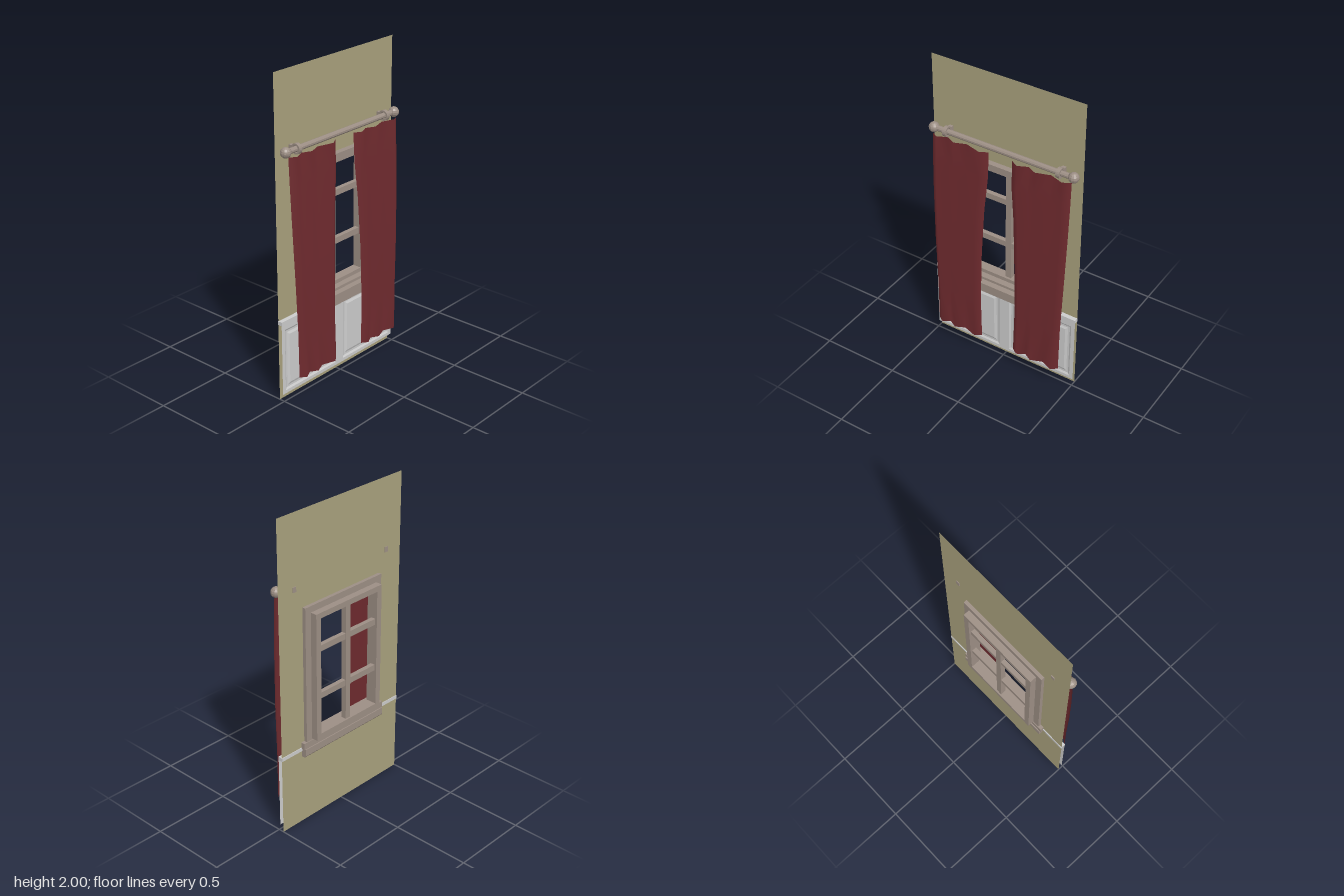
import * as THREE from 'three';

const mat = (color, extra = {}) => new THREE.MeshStandardMaterial({ color, ...extra });

export function createModel() {
  const root = new THREE.Group();
  const wallMat = mat(0xa8a07c, { side: THREE.DoubleSide });
  const woodMat = mat(0x9c8e84, { flatShading: true });
  const clothMat = mat(0x6e2a2e, { side: THREE.DoubleSide });
  const panelMat = mat(0xcccccc, { side: THREE.DoubleSide, flatShading: true });

  const add = (name, geometry, material, parent = root) => {
    const mesh = new THREE.Mesh(geometry, material);
    mesh.name = name;
    parent.add(mesh);
    return mesh;
  };
  const group = (name) => {
    const g = new THREE.Group();
    g.name = name;
    root.add(g);
    return g;
  };
  // Box given by its limits along each axis
  const box = (name, [x0, x1], [y0, y1], [z0, z1], material, parent) => {
    const g = new THREE.BoxGeometry(x1 - x0, y1 - y0, z1 - z0);
    g.translate((x0 + x1) / 2, (y0 + y1) / 2, (z0 + z1) / 2);
    return add(name, g, material, parent);
  };
  const rect = (Type, a0, a1, b0, b1) => new Type([[a0, b0], [a1, b0], [a1, b1], [a0, b1]]
    .map(([a, b]) => new THREE.Vector2(a, b)));
  // Rectangular sheet or frame standing across z, with rectangular openings
  const framed = (outer, holes, x0, x1) => {
    const s = rect(THREE.Shape, ...outer);
    holes.forEach((h) => s.holes.push(rect(THREE.Path, ...h)));
    const g = x1 === undefined ? new THREE.ShapeGeometry(s)
      : new THREE.ExtrudeGeometry(s, { depth: x1 - x0, bevelEnabled: false });
    return g.rotateY(Math.PI / 2).translate(x0, 0, 0);
  };
  // Surface through rows of points
  const loft = (rows) => {
    const n = rows[0].length, index = [];
    for (let i = 0; i < rows.length - 1; i++) {
      for (let j = 0; j < n - 1; j++) {
        const a = i * n + j, b = a + n;
        index.push(a, a + 1, b, b, a + 1, b + 1);
      }
    }
    const g = new THREE.BufferGeometry();
    g.setAttribute('position', new THREE.Float32BufferAttribute(rows.flat(2), 3));
    g.setIndex(index);
    g.computeVertexNormals();
    return g;
  };

  // Wall with the window opening
  add('wall', framed([-0.5, 0.5, 0, 2], [[-0.28, 0.28, 0.57, 1.39]], -0.036), wallMat);

  // Wainscot: flat face, two raised panels and a cap rail
  const wainscot = group('wainscot');
  const panels = [[-0.475, -0.035], [0.035, 0.475]];
  add('wainscotFace', framed([-0.5, 0.5, 0.04, 0.5],
    panels.map(([a, b]) => [a, b, 0.06, 0.46]), -0.01), panelMat, wainscot);
  const steps = [[0, -0.01], [0.012, -0.017], [0.025, -0.017], [0.04, -0.011], [0.199, -0.011]];
  for (const [z0, z1] of panels) {
    add('wainscotPanel', loft(steps.map(([d, x]) => [
      [x, 0.06 + d, z0 + d], [x, 0.46 - d, z0 + d], [x, 0.46 - d, z1 - d],
      [x, 0.06 + d, z1 - d], [x, 0.06 + d, z0 + d],
    ])), panelMat, wainscot);
  }
  box('wainscotCap', [-0.04, -0.008], [0.495, 0.518], [-0.5, 0.5], panelMat, wainscot);

  // Window: casing, deeper sash and glazing bars
  const win = group('window');
  add('casing', framed([-0.315, 0.315, 0.54, 1.42], [[-0.265, 0.265, 0.57, 1.375]], -0.058, 0), woodMat, win);
  add('sash', framed([-0.272, 0.272, 0.56, 1.38], [[-0.235, 0.235, 0.595, 1.345]], -0.1, -0.04), woodMat, win);
  box('verticalBar', [-0.09, -0.055], [0.58, 1.36], [-0.019, 0.019], woodMat, win);
  for (const y of [0.84, 1.147]) {
    box('crossBar', [-0.087, -0.058], [y - 0.019, y + 0.019], [-0.25, 0.25], woodMat, win);
  }
  box('sill', [-0.062, 0.038], [0.512, 0.553], [-0.34, 0.34], woodMat, win);
  // Apron below the sill, with chamfered lower edges
  const apron = [[-0.068, 0.512], [-0.068, 0.468], [-0.058, 0.456], [0.002, 0.456], [0.002, 0.512]];
  const apronShape = new THREE.Shape(apron.map(([x, y]) => new THREE.Vector2(x, y)));
  add('apron', new THREE.ExtrudeGeometry(apronShape, { depth: 0.67, bevelEnabled: false })
    .translate(0, 0, -0.335), woodMat, win);

  // Curtain rod with necks, ball ends and ring brackets
  const rod = group('curtainRod');
  const rx = 0.013, ry = 1.55;
  add('rod', new THREE.CylinderGeometry(0.017, 0.017, 0.87, 10).rotateX(Math.PI / 2), woodMat, rod)
    .position.set(rx, ry, 0);
  for (const s of [-1, 1]) {
    add('finialNeck', new THREE.CylinderGeometry(0.011, 0.011, 0.03, 10).rotateX(Math.PI / 2), woodMat, rod)
      .position.set(rx, ry, s * 0.44);
    add('finialBall', new THREE.SphereGeometry(0.032, 12, 8), woodMat, rod).position.set(rx, ry, s * 0.465);
    const ring = new THREE.Shape().absarc(0, 0, 0.032, 0, Math.PI * 2);
    ring.holes.push(new THREE.Path().absarc(0, 0, 0.021, 0, Math.PI * 2));
    add('bracketRing', new THREE.ExtrudeGeometry(ring, { depth: 0.024, curveSegments: 10, bevelEnabled: false }),
      woodMat, rod).position.set(rx, ry, s * 0.377 - 0.012);
    box('bracketArm', [-0.041, -0.012], [ry - 0.016, ry + 0.016],
      [s * 0.377 - 0.012, s * 0.377 + 0.012], woodMat, rod);
  }

  // Curtains: folded sheets, [height, inner z, outer z, back x] from top to bottom
  const levels = [
    [1.525, 0.078, 0.463, 0.03], [1.35, 0.08, 0.463, 0.038], [1.13, 0.1, 0.46, 0.047],
    [0.8, 0.115, 0.452, 0.058], [0.45, 0.122, 0.44, 0.064], [0.16, 0.115, 0.438, 0.067],
  ];
  const curtain = (name, side, folds) => add(name, loft(levels.map(([y, zi, zo, x]) =>
    folds.map((t, i) => [x + (i % 2 ? 0.028 : 0), y, side * (zi + (zo - zi) * t)]))), clothMat);
  curtain('leftCurtain', 1, [0, 0.12, 0.39, 0.58, 0.73, 0.89, 1]);
  curtain('rightCurtain', -1, [0, 0.12, 0.28, 0.43, 0.66, 0.88, 1]);

  return root;
}
